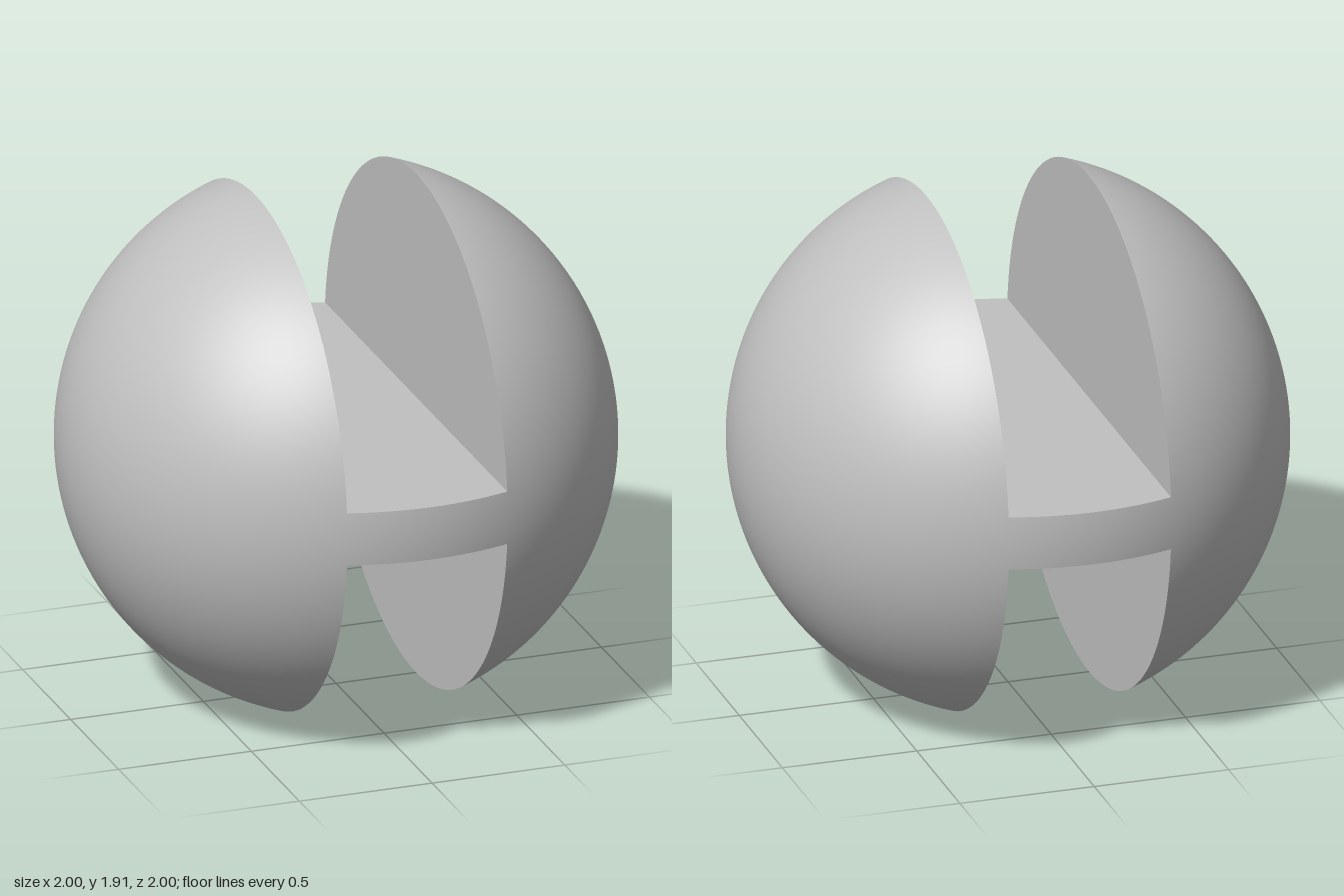
import * as THREE from 'three';

const R = 1;        // sphere radius
const GAP = 0.302;  // half width of the slot
const WEB = 0.1;    // half thickness of the joining web

export function createModel() {
  const model = new THREE.Group();
  const body = new THREE.MeshStandardMaterial({ color: 0xc0c0c0 });
  body.name = 'light grey';
  const add = (geometry, name, parent) => {
    const mesh = new THREE.Mesh(geometry, body);
    mesh.name = name;
    parent.add(mesh);
    return mesh;
  };

  const capRadius = Math.sqrt(R * R - GAP * GAP);

  // Two domed caps with flat inner faces
  for (const [name, turn] of [['leftCap', 0], ['rightCap', Math.PI]]) {
    const cap = new THREE.Group();
    cap.name = name;
    const dome = new THREE.SphereGeometry(R, 128, 48, 0, Math.PI * 2, 0, Math.acos(GAP / R));
    dome.rotateZ(-Math.PI / 2);
    add(dome, 'dome', cap);
    const face = new THREE.CircleGeometry(capRadius, 128);
    face.rotateY(-Math.PI / 2);
    face.translate(GAP, 0, 0);
    add(face, 'innerFace', cap);
    cap.rotation.y = turn;
    model.add(cap);
  }

  // Flat web joining the caps: upper and lower faces plus spherical rims
  const web = new THREE.Group();
  web.name = 'web';
  for (const side of [0, Math.PI]) {
    const plate = new THREE.PlaneGeometry(2 * GAP, 2, 32, 1);
    plate.rotateX(-Math.PI / 2);
    const p = plate.attributes.position;
    for (let i = 0; i < p.count; i++) {
      const x = p.getX(i);
      p.setXYZ(i, x, WEB, Math.sign(p.getZ(i)) * Math.sqrt(R * R - WEB * WEB - x * x));
    }
    add(plate, side ? 'lowerFace' : 'upperFace', web).rotation.x = side;

    const rim = new THREE.PlaneGeometry(2 * GAP, 2 * WEB, 32, 8);
    const q = rim.attributes.position;
    for (let i = 0; i < q.count; i++) {
      const x = q.getX(i), y = q.getY(i);
      const z = Math.sqrt(R * R - x * x - y * y);
      q.setZ(i, z);
      rim.attributes.normal.setXYZ(i, x / R, y / R, z / R);
    }
    add(rim, side ? 'backRim' : 'frontRim', web).rotation.y = side;
  }
  model.add(web);

  // Stand the caps on the ground
  for (const part of model.children) part.position.y = capRadius;
  return model;
}
